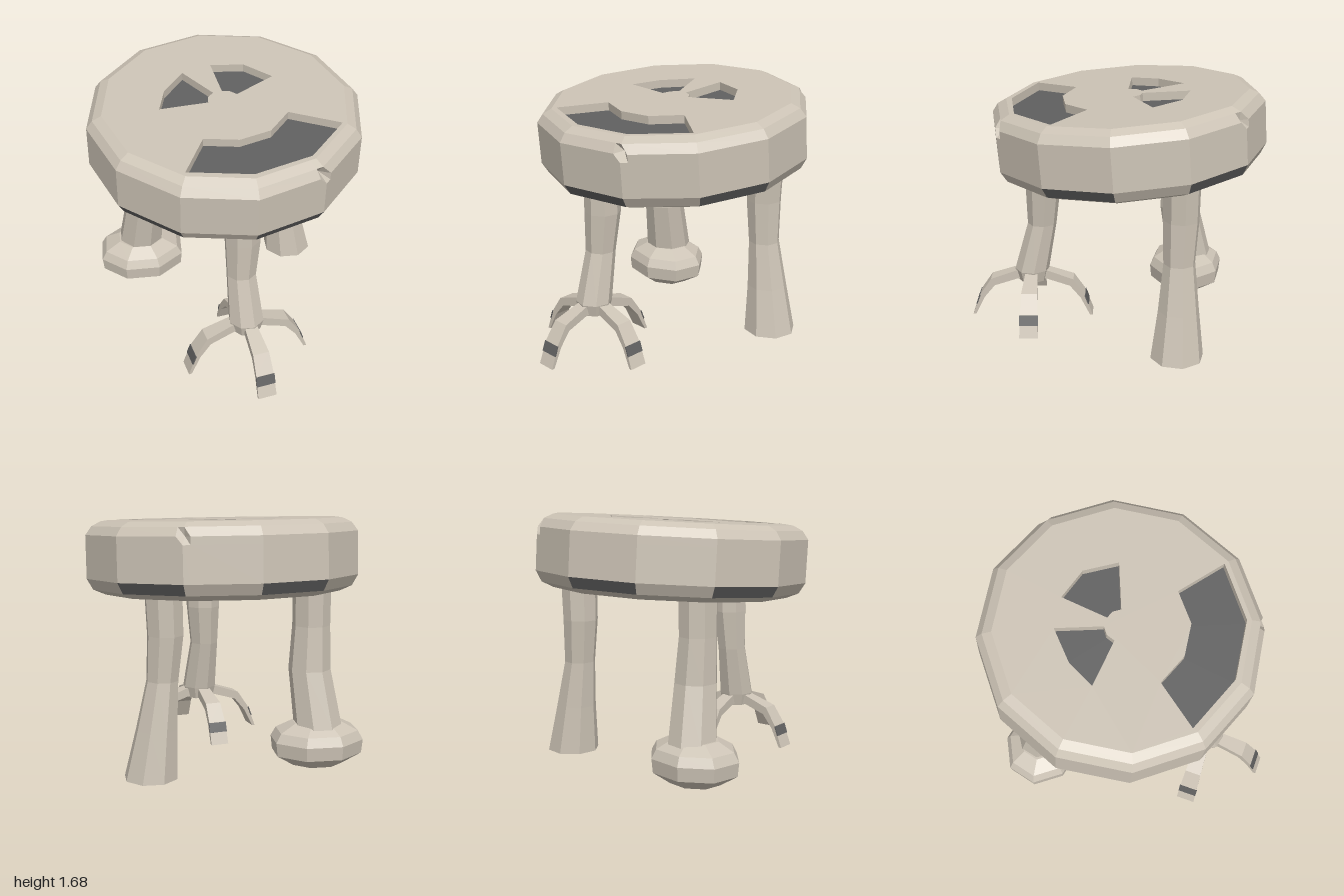
import * as THREE from 'three';

const pale = new THREE.MeshStandardMaterial({ color: 0xccc3b5, flatShading: true });
const dark = new THREE.MeshStandardMaterial({ color: 0x606060, flatShading: true, side: THREE.DoubleSide });

function add(parent, name, geometry, material = pale) {
  const mesh = new THREE.Mesh(geometry, material);
  mesh.name = name;
  parent.add(mesh);
  return mesh;
}

// Skin closed rings of [x, y, z], listed from top to bottom
function skin(rings, keep = () => true) {
  const out = [];
  for (let r = 0; r < rings.length - 1; r++) {
    const n = rings[r].length;
    for (let i = 0; i < n; i++) {
      if (!keep(r, i)) continue;
      const j = (i + 1) % n;
      const [a, b, c, d] = [rings[r][i], rings[r][j], rings[r + 1][j], rings[r + 1][i]];
      out.push(...a, ...d, ...c, ...a, ...c, ...b);
    }
  }
  const g = new THREE.BufferGeometry();
  g.setAttribute('position', new THREE.Float32BufferAttribute(out, 3));
  g.computeVertexNormals();
  return g;
}

// Eight-sided limb through sections [x, y, z, radius], closed at both ends
function limb(sections, squash = 1, sides = 8) {
  const first = sections[0], last = sections[sections.length - 1];
  const all = [[...first.slice(0, 3), 0], ...sections, [...last.slice(0, 3), 0]];
  return skin(all.map(([x, y, z, r]) => Array.from({ length: sides }, (_, i) => {
    const t = (i + 0.4) / sides * Math.PI * 2;
    return [x + r * Math.sin(t), y, z + r * squash * Math.cos(t)];
  })));
}

const SIDES = 12, TURN = 2 * Math.PI / 180;
const corner = (i) => {
  const t = TURN + i * Math.PI * 2 / SIDES;
  return [Math.sin(t), Math.cos(t)];
};

function makeSeat() {
  const seat = new THREE.Group();
  seat.name = 'seat';

  // Rim columns: one per corner, with extra ones beside the chipped corners
  const chips = { 1: 0.08, 5: 0.05 };
  const columns = [];
  const between = (i, j, f) => corner(i).map((v, k) => v + (corner(j)[k] - v) * f);
  for (let i = 0; i < SIDES; i++) {
    if (chips[i]) columns.push({ p: between(i, i - 1, 0.1), side: i - 1 });
    columns.push({ p: corner(i), side: i, chip: chips[i] });
    if (chips[i]) columns.push({ p: between(i, i + 1, 0.1), side: i });
  }
  const profile = [[0.80, 0.235], [0.86, 0.205], [0.9, 0.15], [0.9, 0.1],
    [0.9, -0.13], [0.86, -0.2], [0.78, -0.235]];
  const rings = profile.map(([r, y], row) => columns.map(({ p, chip }) => {
    const radius = row === 2 && chip ? r - chip : r;
    return [p[0] * radius, y, p[1] * radius];
  }));
  // Alternate facets of the lower bevel are dark
  const isDark = (row, i) => row === 4 && columns[i].side % 2 === 0;
  add(seat, 'seatRim', skin(rings, (r, i) => !isDark(r, i)));
  add(seat, 'darkBevels', skin(rings, isDark), dark);

  // Top plate with the carved eyes and mouth, points given as [x, z]
  const toPoints = (list) => list.map(([x, z]) => new THREE.Vector2(x, -z - 0.08));
  const plate = new THREE.Shape(Array.from({ length: SIDES }, (_, i) => {
    const [x, z] = corner(i);
    return new THREE.Vector2(x * 0.8, -z * 0.8);
  }));
  const carvings = [
    [[-0.22, -0.44], [-0.06, -0.18], [-0.10, -0.14], [-0.11, -0.08], [-0.43, -0.06], [-0.37, -0.25]],
    [[-0.02, -0.50], [0.20, -0.47], [0.36, -0.30], [0.09, -0.14], [0.05, -0.18], [0, -0.19]],
    [[-0.21, 0.29], [0.01, 0.34], [0.22, 0.28], [0.37, 0.11], [0.68, 0.28], [0.41, 0.57],
      [0.03, 0.68], [-0.37, 0.59]],
  ];
  plate.holes = carvings.map((c) => new THREE.Path(toPoints(c)));
  const top = new THREE.ExtrudeGeometry(plate, { depth: 0.06, bevelEnabled: false });
  top.rotateX(-Math.PI / 2).translate(0, 0.175, 0);
  add(seat, 'seatTop', top);

  // Dark discs: floor of the carvings and the underside
  for (const [name, r, y] of [['carvingFloor', 0.79, 0.18], ['underside', 0.78, -0.235]]) {
    const disc = new THREE.CircleGeometry(r, SIDES, -TURN).rotateX(Math.PI / 2).translate(0, y, 0);
    add(seat, name, disc, dark);
  }

  seat.position.set(0, 1.39, -0.095);
  seat.rotation.x = 0.073;
  return seat;
}

function makeClaw() {
  const claw = new THREE.Group();
  claw.name = 'claw';
  // Arched side profile: distance outward, height
  const shape = new THREE.Shape([[0.04, 0.34], [0.10, 0.335], [0.29, 0.27], [0.37, 0.15], [0.425, 0],
    [0.405, 0], [0.34, 0.13], [0.265, 0.22], [0.10, 0.27], [0.04, 0.27]]
    .map(([x, y]) => new THREE.Vector2(x, y)));
  const toe = new THREE.ExtrudeGeometry(shape, { depth: 1, bevelEnabled: false });
  toe.translate(0, 0, -0.5).rotateY(-Math.PI / 2);
  // Widen toward the tip
  const pos = toe.attributes.position;
  for (let i = 0; i < pos.count; i++) pos.setX(i, pos.getX(i) * (0.085 + 0.13 * Math.max(0, pos.getZ(i) - 0.1)));
  toe.computeVertexNormals();
  add(claw, 'toe', toe);
  // Dark band across the outer face
  const band = add(claw, 'toeBand', new THREE.BoxGeometry(0.128, 0.07, 0.008), dark);
  band.position.set(0, 0.115, 0.383);
  band.rotation.x = -Math.atan2(0.055, 0.15);
  return claw;
}

export function createModel() {
  const model = new THREE.Group();
  model.name = 'stool';
  model.add(makeSeat());

  // Front leg ending in four claws
  const front = new THREE.Group();
  front.name = 'frontLeg';
  add(front, 'frontShaft', limb([[0, 1.22, 0.49, 0.12], [0, 0.95, 0.49, 0.12], [-0.01, 0.68, 0.505, 0.1],
    [0.01, 0.34, 0.58, 0.12], [0.01, 0.26, 0.58, 0.1]]));
  for (let i = 0; i < 4; i++) {
    const claw = makeClaw();
    claw.position.set(0.01, 0, 0.58);
    claw.rotation.y = 0.14 + i * Math.PI / 2;
    front.add(claw);
  }
  model.add(front);

  // Back left leg flaring to a flat foot
  add(model, 'flaredLeg', limb([[0.47, 1.25, -0.5, 0.123], [0.46, 0.95, -0.5, 0.118], [0.48, 0.66, -0.495, 0.104],
    [0.52, 0.35, -0.5, 0.135], [0.56, 0.03, -0.5, 0.175]]));

  // Back right leg standing on a rounded foot
  const ball = new THREE.Group();
  ball.name = 'ballLeg';
  add(ball, 'ballShaft', limb([[-0.53, 1.25, -0.39, 0.127], [-0.53, 0.95, -0.39, 0.125], [-0.52, 0.66, -0.4, 0.14],
    [-0.56, 0.29, -0.47, 0.16]]));
  add(ball, 'ballFoot', limb([[-0.56, 0.315, -0.45, 0.17], [-0.56, 0.26, -0.45, 0.28], [-0.56, 0.2, -0.45, 0.315],
    [-0.56, 0.11, -0.45, 0.305], [-0.56, 0.035, -0.45, 0.18]], 0.84));
  model.add(ball);

  return model;
}
